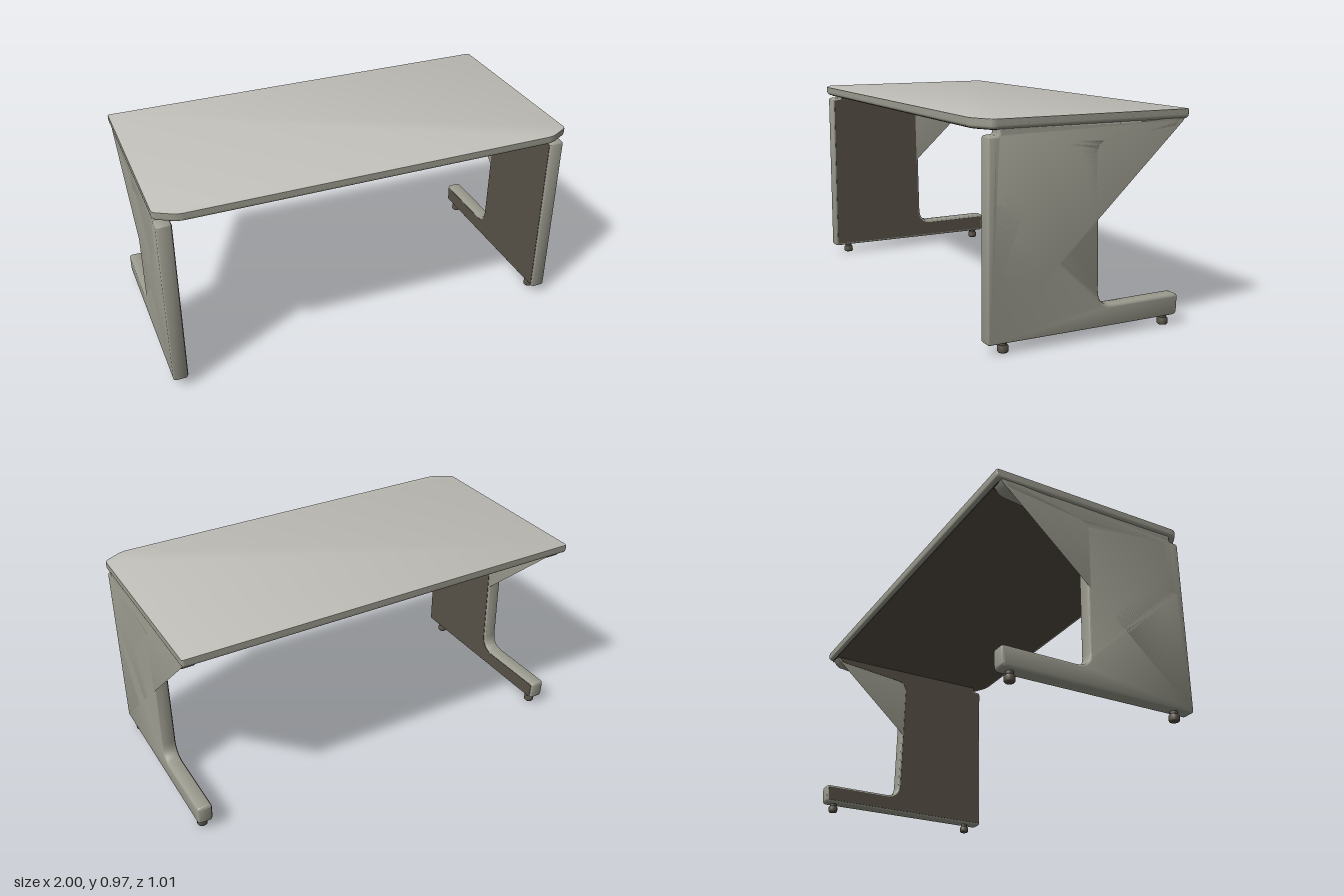
import * as THREE from 'three';
import { toCreasedNormals } from 'three/addons/utils/BufferGeometryUtils.js';

const material = (name, color, side = THREE.FrontSide) => {
  const m = new THREE.MeshStandardMaterial({ color, side });
  m.name = name;
  return m;
};

// Closed outline from corners given as [x, y, cornerRadius]
function roundedOutline(corners) {
  const shape = new THREE.Shape();
  const n = corners.length;
  corners.forEach(([x, y, r], i) => {
    const p = new THREE.Vector2(x, y);
    const towards = (c) => new THREE.Vector2(c[0], c[1]).sub(p).setLength(r).add(p);
    const a = towards(corners[(i + n - 1) % n]);
    const b = towards(corners[(i + 1) % n]);
    if (i === 0) shape.moveTo(a.x, a.y);
    else shape.lineTo(a.x, a.y);
    shape.quadraticCurveTo(p.x, p.y, b.x, b.y);
  });
  shape.closePath();
  return shape;
}

// Slab of total thickness t, centred on its extrusion axis, with rounded edges
function slab(shape, t, bevel, bevelSegments = 4) {
  const geo = new THREE.ExtrudeGeometry(shape, {
    depth: t - 2 * bevel, bevelThickness: bevel, bevelSize: bevel,
    bevelOffset: -bevel, bevelSegments, curveSegments: 8,
  });
  geo.translate(0, 0, bevel - t / 2);
  return toCreasedNormals(geo, 0.7);
}

export function createModel() {
  const group = new THREE.Group();
  const topMat = material('lightGreyTop', 0xc1bfb9);
  const bodyMat = material('greyBody', 0x9b9b8f);
  const darkMat = material('darkBrownGrey', 0x575147);

  const add = (name, geometry, mat, x = 0, y = 0, z = 0, parent = group) => {
    const mesh = new THREE.Mesh(geometry, mat);
    mesh.name = name;
    mesh.position.set(x, y, z);
    parent.add(mesh);
    return mesh;
  };

  // Table top: clipped front corners, crisp upper edge, rounded lower edge
  const topShape = roundedOutline([
    [-1, -0.505, 0.03], [-0.9, -0.505, 0.04], [0.9, -0.505, 0.04], [1, -0.505, 0.03],
  ].map(([x, z, r], i) => (i === 0 ? [-0.9, z, 0.03] : i === 3 ? [1, -0.45, 0.02]
    : i === 1 ? [0.9, z, 0.03] : [1, -0.45, 0.02])).slice(0, 2).concat([
    [1, -0.45, 0.02], [1, 0.505, 0.012], [-1, 0.505, 0.012], [-1, -0.45, 0.02],
  ]));
  const flat = (geo) => geo.rotateX(-Math.PI / 2);
  add('tableTop', flat(slab(topShape, 0.024, 0.004, 2)), [topMat, bodyMat], 0, 0.954, 0);
  add('tableTopLowerEdge', flat(slab(topShape, 0.042, 0.02)), bodyMat, 0, 0.943, 0);
  const underside = add('underside', flat(slab(topShape, 0.004, 0.001, 1)), darkMat, 0, 0.9215, 0);
  underside.scale.set(0.978, 1, 0.957);

  // Side panel profile in z (first) and y (second)
  const legShape = roundedOutline([
    [-0.482, 0.045, 0.022], [0.465, 0.045, 0.012], [0.465, 0.897, 0.014],
    [0.42, 0.9, 0.006], [0.42, 0.928, 0.004], [-0.485, 0.928, 0.004],
    [-0.452, 0.884, 0.022], [-0.05, 0.838, 0.045], [-0.064, 0.139, 0.07],
    [-0.485, 0.142, 0.018],
  ]);
  const innerGeo = new THREE.ExtrudeGeometry(legShape, {
    depth: 0.002, bevelSize: 0, bevelThickness: 0.0005, bevelOffset: -0.012,
    bevelSegments: 1, curveSegments: 8,
  }).rotateY(-Math.PI / 2);

  const panelShape = legShape.clone();
  panelShape.holes.push(new THREE.Path([
    [0.4, 0.633], [0.4, 0.87], [0.421, 0.87], [0.421, 0.633],
  ].map(([z, y]) => new THREE.Vector2(z, y))));
  const panelGeo = slab(panelShape, 0.07, 0.012).rotateY(-Math.PI / 2);

  const slotGeo = new THREE.BoxGeometry(0.055, 0.26, 0.032);
  const stemGeo = new THREE.CylinderGeometry(0.018, 0.018, 0.03, 16);
  const glideGeo = new THREE.LatheGeometry(
    [[0, 0], [0.02, 0], [0.024, 0.005], [0.024, 0.026], [0.018, 0.032], [0, 0.032]]
      .map(([r, y]) => new THREE.Vector2(r, y)), 16);

  for (const side of [1, -1]) {
    const leg = new THREE.Group();
    leg.name = side > 0 ? 'leftLeg' : 'rightLeg';
    group.add(leg);
    add('sidePanel', panelGeo, bodyMat, side * 0.957, 0, 0, leg);
    // Dark lining on the inward face
    add('innerFace', innerGeo, darkMat, side * 0.9215 + 0.001, 0, 0, leg);
    // Floor of the recessed slot on the outward face
    add('slotFloor', slotGeo, darkMat, side * 0.9535, 0.75, 0.4105, leg);
    for (const z of [0.38, -0.43]) {
      add('footStem', stemGeo, darkMat, side * 0.957, 0.04, z, leg);
      add('footGlide', glideGeo, darkMat, side * 0.957, 0, z, leg);
    }
  }
  return group;
}
